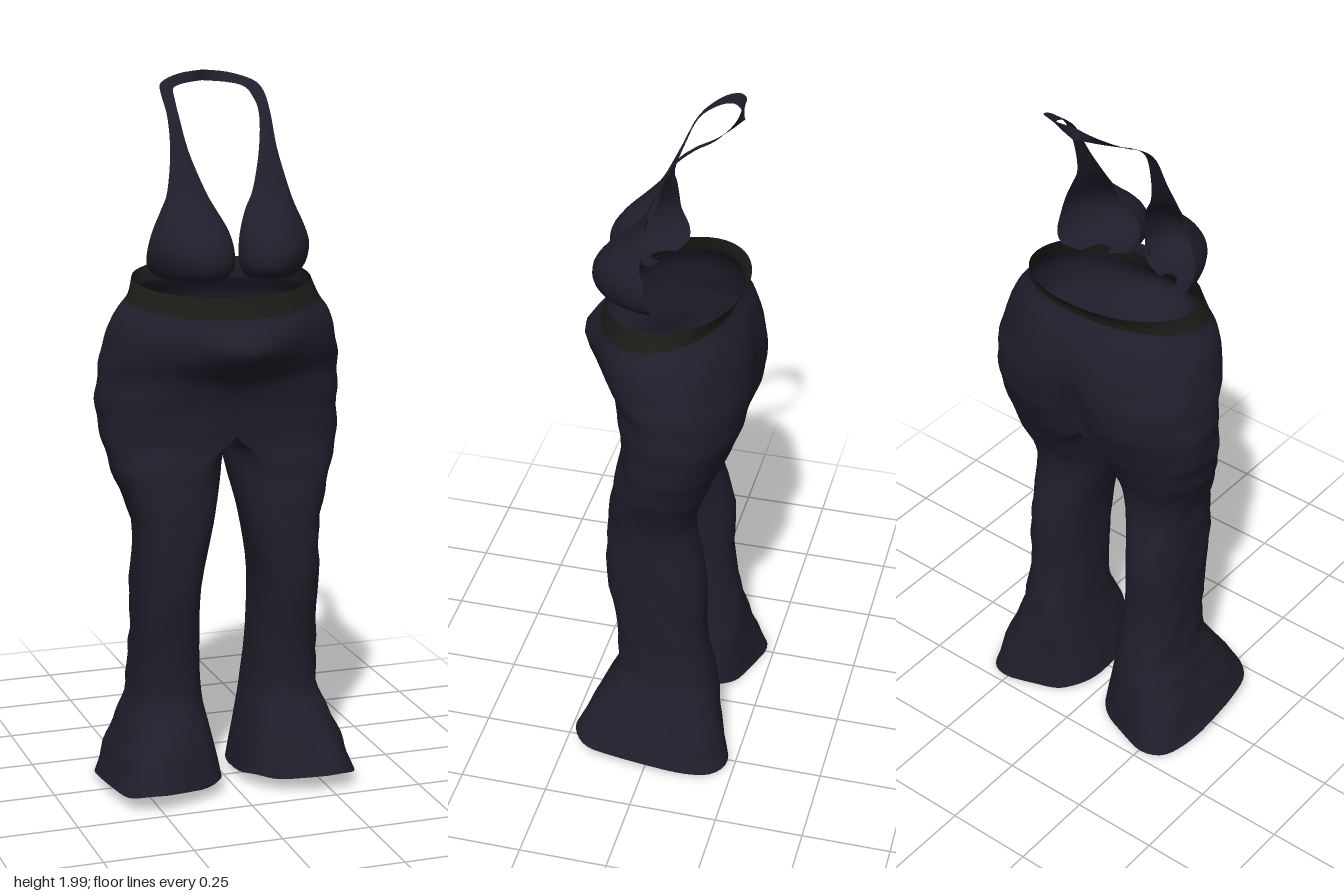
import * as THREE from 'three';
import { mergeVertices } from 'three/addons/utils/BufferGeometryUtils.js';

const { smoothstep } = THREE.MathUtils;
const STEPS = 4; // sub-rows between two listed cross-sections
const AROUND = 48;

// Trouser cross-sections, waist to hem:
// y, inner x, middle x, outer x, front z, back z, tilt
const TROUSERS = [
  [1.45, 0, 0, 0.25, 0.172, -0.205, 0.13],
  [1.40, 0, 0, 0.27, 0.183, -0.182, 0.17],
  [1.35, 0, 0, 0.305, 0.19, -0.216, 0.08],
  [1.27, 0, 0, 0.332, 0.18, -0.242, 0],
  [1.20, 0, 0, 0.342, 0.146, -0.247, 0],
  [1.12, 0, 0, 0.346, 0.125, -0.234, 0],
  [1.03, 0, 0, 0.34, 0.115, -0.2, 0],
  [0.97, 0.012, 0.09, 0.328, 0.117, -0.17, 0],
  [0.90, 0.02, 0.15, 0.305, 0.125, -0.138, 0],
  [0.78, 0.046, 0.16, 0.266, 0.14, -0.102, 0],
  [0.60, 0.083, 0.172, 0.263, 0.145, -0.138, 0],
  [0.42, 0.082, 0.172, 0.264, 0.117, -0.14, 0],
  [0.28, 0.073, 0.174, 0.274, 0.117, -0.165, 0],
  [0.20, 0.06, 0.18, 0.3, 0.158, -0.185, -0.03],
  [0.11, 0.043, 0.188, 0.332, 0.205, -0.213, -0.06],
  [0.032, 0.03, 0.194, 0.355, 0.235, -0.238, -0.1],
];
const BAND_END = STEPS; // row where the waistband meets the cloth
const CROTCH = 6 * STEPS; // row where the legs part

// Halter strip, nape to under the bust: inner edge xyz, outer edge xyz, forward bulge
const HALTER = [
  [0, 1.97, -0.188, 0, 2.0, -0.18, 0],
  [0.06, 1.966, -0.162, 0.07, 1.992, -0.176, 0],
  [0.1, 1.957, -0.13, 0.132, 1.972, -0.142, 0],
  [0.111, 1.935, -0.085, 0.147, 1.945, -0.092, 0],
  [0.114, 1.89, -0.036, 0.147, 1.89, -0.036, 0.003],
  [0.1, 1.8, 0.004, 0.152, 1.8, 0.004, 0.006],
  [0.068, 1.7, 0.048, 0.172, 1.7, 0.04, 0.016],
  [0.043, 1.65, 0.06, 0.19, 1.65, 0.038, 0.056],
  [0.02, 1.6, 0.085, 0.212, 1.6, 0.038, 0.094],
  [0.009, 1.55, 0.1, 0.226, 1.55, 0.035, 0.12],
  [0.012, 1.5, 0.098, 0.222, 1.5, 0.012, 0.132],
  [0.035, 1.47, 0.08, 0.198, 1.47, 0.008, 0.112],
  [0.09, 1.458, 0.06, 0.15, 1.458, 0.03, 0.045],
];

// Smoothly fills in rows between the listed ones
function resample(rows) {
  const out = [];
  const at = (i) => rows[Math.max(0, Math.min(rows.length - 1, i))];
  for (let s = 0; s <= (rows.length - 1) * STEPS; s++) {
    const i = Math.floor(s / STEPS), f = s / STEPS - i;
    out.push(at(i).map((b, k) => {
      const a = at(i - 1)[k], c = at(i + 1)[k], d = at(i + 2)[k];
      return b + 0.5 * f * (c - a + f * (2 * a - 5 * b + 4 * c - d + f * (3 * (b - c) + d - a)));
    }));
  }
  return out;
}

// Skins a grid of points; keep(i, j) chooses the quads to build
function skin(grid, keep = () => true) {
  const cols = grid[0].length, index = [];
  for (let i = 0; i < grid.length - 1; i++) {
    for (let j = 0; j < cols - 1; j++) {
      if (!keep(i, j)) continue;
      const a = i * cols + j, b = a + cols;
      index.push(a, b, a + 1, b, b + 1, a + 1);
    }
  }
  let geo = new THREE.BufferGeometry();
  geo.setAttribute('position', new THREE.Float32BufferAttribute(grid.flat(2), 3));
  geo.setIndex(index);
  geo = mergeVertices(geo, 1e-5);
  geo.computeVertexNormals();
  // Level the normals on the middle line so both halves meet smoothly
  const p = geo.attributes.position, n = geo.attributes.normal;
  for (let i = 0; i < p.count; i++) {
    if (Math.abs(p.getX(i)) > 1e-4) continue;
    const len = Math.hypot(n.getY(i), n.getZ(i));
    if (len > 1e-3) n.setXYZ(i, 0, n.getY(i) / len, n.getZ(i) / len);
  }
  return geo;
}

// One trouser ring: front, outer side, back, inner side
function trouserRing([y, xi, c, xo, zf, zb, tilt], row) {
  const ring = [];
  if (row <= CROTCH) { xi = 0; c = 0; }
  const mid = (zf + zb) / 2, rz = (zf - zb) / 2;
  const flare = 1 - smoothstep(y, 0.03, 0.27);
  const pow = 0.82 + 0.14 * smoothstep(y, 1.05, 1.25) - 0.16 * flare;
  const bend = (v) => Math.abs(v) < 1e-9 ? 0 : Math.sign(v) * Math.abs(v) ** pow;
  for (let j = 0; j <= AROUND; j++) {
    const t = (j % AROUND) / AROUND * Math.PI * 2;
    const sx = bend(Math.sin(t)), sz = bend(Math.cos(t));
    let x = c + sx * (sx > 0 ? xo - c : c - xi);
    let z = mid + rz * sz;
    // Belly swelling at the middle, cleft between the buttocks
    if (sz > 0) z += 0.062 * Math.exp(-((x / 0.13) ** 2) - ((y - 1.285) / 0.075) ** 2) * sz;
    else z += 0.05 * Math.exp(-((x / 0.055) ** 2) - ((y - 1.13) / 0.13) ** 2) * -sz;
    // Flared hem reaches furthest at its outer corners
    z *= 1 - 0.22 * flare * (1 - smoothstep(x, 0.1, 0.29));
    // Soft creases in the cloth
    const crease = 0.005 * smoothstep(1.38 - y, 0, 0.15) * Math.sin(46 * y + 4 * t) * Math.sin(17 * y - 3 * t);
    if (sx > 0) x += crease * sx;
    z += crease * 0.5 * sz * Math.min(1, x / 0.1);
    // Wavy hem
    const wave = 0.005 * Math.sin(5 * t) * (1 - smoothstep(y, 0.03, 0.15));
    ring.push([x, y - tilt * z + wave, z]);
  }
  return ring;
}

// One row across the halter strip
function halterRow([ax, ay, az, bx, by, bz, bulge]) {
  const row = [];
  for (let j = 0; j <= 16; j++) {
    const u = j / 16 * Math.PI, f = (1 - Math.cos(u)) / 2;
    row.push([ax + (bx - ax) * f, ay + (by - ay) * f, az + (bz - az) * f + bulge * Math.sin(u)]);
  }
  return row;
}

export function createModel() {
  const model = new THREE.Group();
  model.name = 'outfit';
  const cloth = new THREE.MeshStandardMaterial({ color: 0x1f1f2c, side: THREE.DoubleSide });
  cloth.name = 'dark navy cloth';
  const olive = new THREE.MeshStandardMaterial({ color: 0x1c1c19, side: THREE.DoubleSide });
  olive.name = 'dark olive band';

  const rings = resample(TROUSERS).map(trouserRing);
  const half = AROUND / 2;
  const parts = [
    ['waistband', skin(rings.slice(0, BAND_END + 1), (i, j) => j < half), olive],
    ['trouserLeg', skin(rings.slice(BAND_END), (i, j) => j < half || i + BAND_END >= CROTCH), cloth],
    ['halterCup', skin(resample(HALTER).map(halterRow)), cloth],
  ];
  for (const [name, geo, material] of parts) {
    for (const side of [1, -1]) {
      const mesh = new THREE.Mesh(geo, material);
      mesh.name = (side > 0 ? 'left ' : 'right ') + name;
      mesh.scale.x = side;
      model.add(mesh);
    }
  }

  // Small bridge joining the cups
  const bridge = new THREE.Mesh(new THREE.BoxGeometry(0.05, 0.03, 0.008), cloth);
  bridge.name = 'cupBridge';
  bridge.position.set(0, 1.485, 0.1);
  model.add(bridge);
  return model;
}
